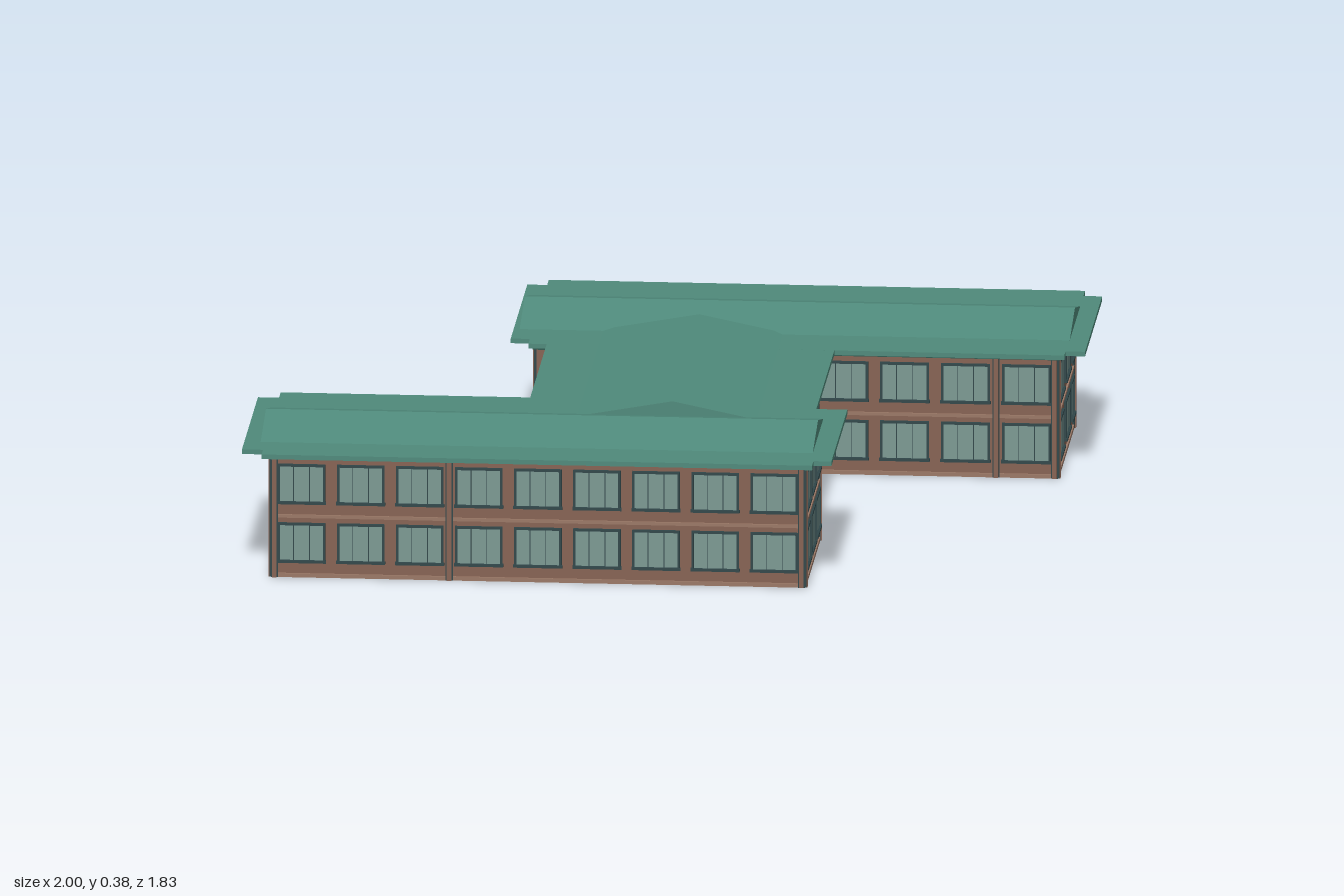
import * as THREE from 'three';
import { mergeGeometries } from 'three/addons/utils/BufferGeometryUtils.js';

const mat = (name, color) => {
  const m = new THREE.MeshStandardMaterial({ color });
  m.name = name;
  return m;
};

export function createModel() {
  const M = {
    roof: mat('green roof', 0x4f8a7b),
    fascia: mat('dark green fascia', 0x2f5a50),
    brick: mat('brick', 0x866252),
    course: mat('light brick', 0x9a7866),
    frame: mat('window frame', 0x2f4649),
    glass: mat('glass', 0x7c9992),
    door: mat('door', 0x5f768a),
    stone: mat('pale stone', 0xb9b5aa),
  };
  const model = new THREE.Group();
  const building = new THREE.Group();
  building.name = 'building';
  building.rotation.y = 0.0488;
  model.add(building);

  const add = (parent, name, geo, m) => {
    const mesh = new THREE.Mesh(geo, m);
    mesh.name = name;
    parent.add(mesh);
  };
  // box given by its minimum and maximum corners
  const box = (x0, x1, y0, y1, z0, z1) =>
    new THREE.BoxGeometry(x1 - x0, y1 - y0, z1 - z0)
      .translate((x0 + x1) / 2, (y0 + y1) / 2, (z0 + z1) / 2);

  // Wall volumes and the fascia band beneath the eaves
  const blocks = {
    frontWing: [-0.942, 0.394, 0.335, 0.80],
    backWing: [-0.365, 0.942, -0.803, -0.302],
    connector: [-0.28, 0.33, -0.31, 0.34],
  };
  for (const [name, [x0, x1, z0, z1]] of Object.entries(blocks)) {
    add(building, name + 'Walls', box(x0, x1, 0, 0.31, z0, z1), M.brick);
    add(building, name + 'Fascia', box(x0 - 0.01, x1 + 0.01, 0.308, 0.325, z0 - 0.01, z1 + 0.01), M.fascia);
  }

  // evenly spaced openings, as [centre, width] along the wall
  const even = (len, bays) => Array.from({ length: bays },
    (_, i) => [(i + 0.5) * len / bays, Math.min(len / bays * 0.79, 0.125)]);

  // One wall of windows from a to b; the outside is on the right-hand side of a to b
  function facade(name, [ax, az], [bx, bz], bays, piers = [], opts = {}) {
    const g = new THREE.Group();
    g.name = name;
    g.position.set(ax, 0, az);
    g.rotation.y = Math.atan2(-(bz - az), bx - ax);
    building.add(g);
    const len = Math.hypot(bx - ax, bz - az);
    const parts = { course: [], frame: [], glass: [], brick: [], door: [], stone: [] };
    const put = (m, ...b) => parts[m].push(box(...b));

    // plinth and string courses
    for (const [y0, y1] of [[0, 0.01], [0.154, 0.162]])
      put('course', 0, len, y0, y1, 0, 0.005);

    // piers with dark joints on either side
    for (const p of [0, ...piers, bays]) {
      const c = Math.min(Math.max(p * len / bays, 0.006), len - 0.006);
      put('brick', c - 0.006, c + 0.006, 0, 0.308, 0, 0.009);
      for (const s of [-1, 1])
        put('frame', c + s * 0.0075 - 0.0015, c + s * 0.0075 + 0.0015, 0, 0.308, 0, 0.006);
    }

    // two storeys of three-light windows with projecting sills
    (opts.openings ?? even(len, bays)).forEach(([c, width], i) => {
      const w = width / 2;
      for (const y of [0.042, 0.194]) {
        if (opts.door !== undefined && i === 0 && y < 0.1) continue;
        const top = y + 0.097;
        put('glass', c - w, c + w, y, top, 0, 0.004);
        for (const s of [-1, 1]) {
          put('frame', c + s * (w - 0.002) - 0.003, c + s * (w - 0.002) + 0.003, y, top, 0, 0.007);
          put('frame', c + s * 0.34 * w - 0.001, c + s * 0.34 * w + 0.001, y, top, 0, 0.005);
        }
        put('frame', c - w - 0.001, c + w + 0.001, top - 0.004, top + 0.002, 0, 0.007);
        put('frame', c - w - 0.003, c + w + 0.003, y - 0.004, y + 0.003, 0, 0.01);
      }
    });

    // double door with a pale canopy
    if (opts.door !== undefined) {
      const c = opts.door;
      put('frame', c - 0.066, c + 0.066, 0, 0.13, 0, 0.006);
      for (const s of [-1, 1])
        put('door', c + s * 0.031 - 0.0302, c + s * 0.031 + 0.0302, 0.003, 0.126, 0, 0.009);
      put('stone', c - 0.073, c + 0.073, 0.13, 0.139, 0, 0.04);
    }
    for (const [m, list] of Object.entries(parts))
      if (list.length) add(g, name + ' ' + M[m].name, mergeGeometries(list), M[m]);
  }

  const [fx0, fx1, fz0, fz1] = blocks.frontWing;
  const [bx0, bx1, bz0, bz1] = blocks.backWing;
  const [cx0, cx1] = blocks.connector;
  facade('frontWingFront', [fx0, fz1], [fx1, fz1], 9, [3]);
  facade('frontWingLeftEnd', [fx1, fz1], [fx1, fz0], 3);
  facade('frontWingRightEnd', [fx0, fz0], [fx0, fz1], 3);
  facade('frontWingBack', [cx0, fz0], [fx0, fz0], 4, [3]);
  facade('backWingBack', [bx1, bz0], [bx0, bz0], 9, [3]);
  facade('backWingLeftEnd', [bx1, bz1], [bx1, bz0], 3, [],
    { openings: [[0.088, 0.133], [0.282, 0.13], [0.444, 0.08]] });
  facade('backWingRightEnd', [bx0, bz0], [bx0, bz1], 3);
  facade('backWingFront', [cx1, bz1], [bx1, bz1], 4, [3]);
  facade('connectorLeft', [cx1, fz0], [cx1, bz1], 4, [3],
    { openings: [[0.066, 0.125], [0.232, 0.128], [0.395, 0.125], [0.56, 0.128]], door: 0.097 });
  facade('connectorRight', [cx0, bz1], [cx0, fz0], 4, [1]);

  // Eaves: flat slabs with notched corners
  const eaves = (name, pts) => {
    const shape = new THREE.Shape(pts.map(([x, z]) => new THREE.Vector2(x, -z)));
    const geo = new THREE.ExtrudeGeometry(shape, { depth: 0.012, bevelEnabled: false })
      .rotateX(-Math.PI / 2).translate(0, 0.322, 0);
    add(building, name, geo, M.roof);
  };
  eaves('frontWingEaves', [[-1.016, 0.318], [-1.016, 0.824], [-0.963, 0.824], [-0.963, 0.869],
    [0.42, 0.869], [0.42, 0.824], [0.465, 0.824], [0.465, 0.321], [0.387, 0.321],
    [0.387, 0.266], [-0.963, 0.266], [-0.963, 0.318]]);
  eaves('backWingEaves', [[-0.43, -0.822], [-0.43, -0.298], [-0.382, -0.298], [-0.382, -0.252],
    [0.965, -0.244], [0.965, -0.284], [1.014, -0.284], [1.014, -0.822], [0.967, -0.822],
    [0.967, -0.872], [-0.38, -0.872], [-0.38, -0.822]]);
  eaves('connectorEaves', [[-0.336, -0.253], [-0.336, 0.267], [0.387, 0.267], [0.387, -0.247]]);

  // Low gable roofs, each a cross-section of [across, height] points swept along its length
  const gable = (points, depth) => new THREE.ExtrudeGeometry(
    new THREE.Shape(points.map(p => new THREE.Vector2(...p))), { depth, bevelEnabled: false });
  const wingRoof = (name, x0, x1, zBack, zTop, zFront) => add(building, name,
    gable([[-zFront, 0.333], [-zBack, 0.333], [-zTop, 0.375]], x1 - x0)
      .rotateY(Math.PI / 2).translate(x0, 0, 0), M.roof);
  wingRoof('frontWingRoof', -0.975, 0.412, 0.41, 0.58, 0.752);
  wingRoof('backWingRoof', -0.415, 0.967, -0.727, -0.556, -0.387);

  // Connector roof, running front to back into both wings
  add(building, 'connectorRoof',
    gable([[-0.21, 0.333], [0.25, 0.333], [0.035, 0.377]], 0.845).translate(0, 0, -0.41), M.roof);

  return model;
}
